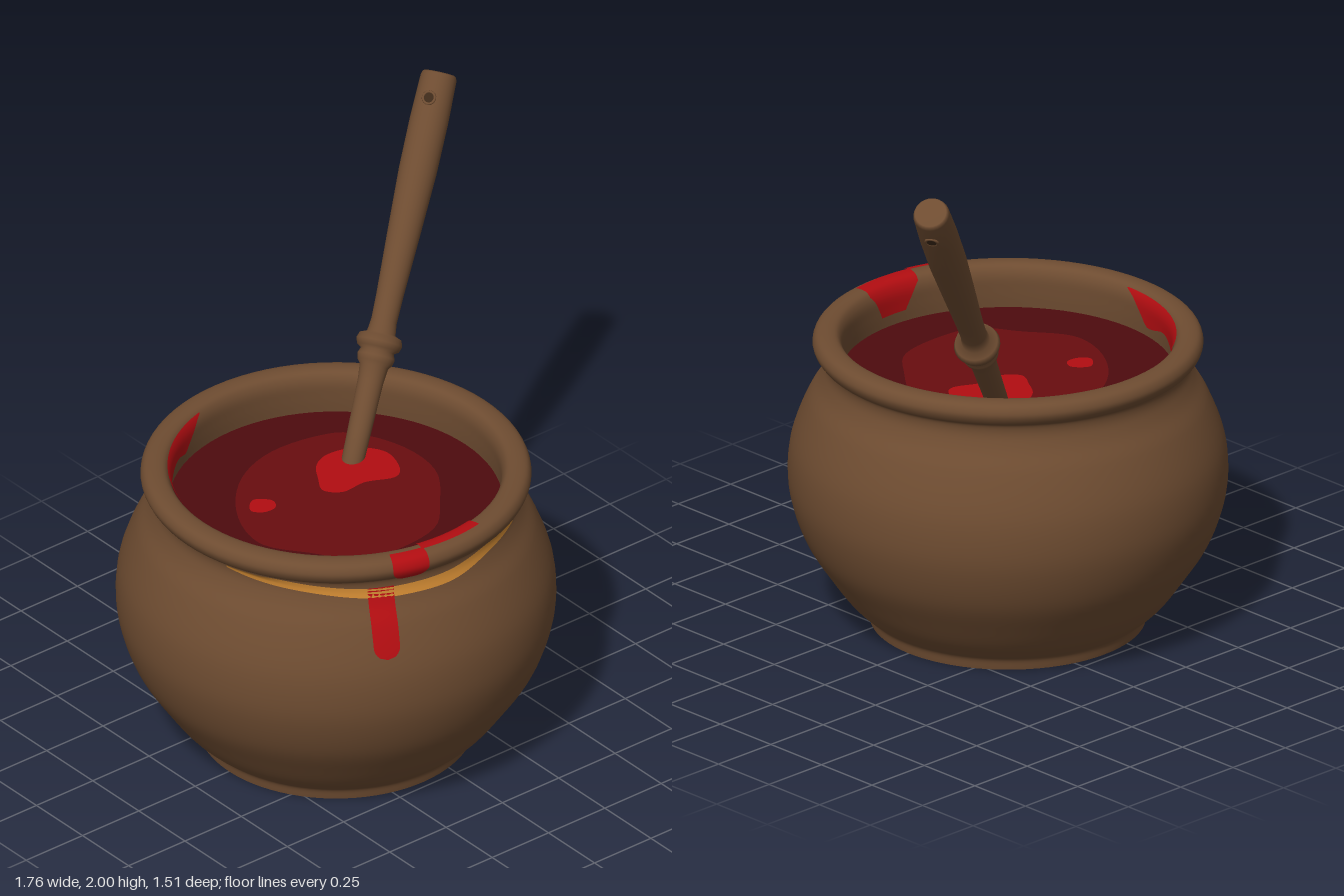
import * as THREE from 'three';

const mat = (name, color) => Object.assign(new THREE.MeshStandardMaterial({ color }), { name });
const V = (x, y, z = 0) => new THREE.Vector3(x, y, z);

export function createModel() {
  const brown = mat('brown clay and wood', 0x6e4c31);
  const darkBrown = mat('dark hole', 0x3c2919);
  const red = mat('bright red', 0xb20d11);
  const midRed = mat('mid red', 0x680d0f);
  const darkRed = mat('dark red', 0x4e0b0e);
  const orange = mat('orange glaze', 0xca8531);

  const model = new THREE.Group();
  const pot = new THREE.Group();
  pot.name = 'pot';
  pot.position.x = -0.125;
  model.add(pot);
  const add = (parent, name, geo, material) => {
    const mesh = new THREE.Mesh(geo, material);
    mesh.name = name;
    parent.add(mesh);
    return mesh;
  };

  // Pot wall: foot, belly, neck, rolled rim and inner wall (radius, height)
  const profile = [
    [0.475, 0], [0.485, 0.04], [0.515, 0.065], [0.56, 0.11], [0.625, 0.2], [0.70, 0.32], [0.745, 0.45],
    [0.757, 0.55], [0.745, 0.67], [0.69, 0.815], [0.645, 0.89], [0.627, 0.94], [0.632, 0.975], [0.655, 0.99],
    [0.672, 1.025], [0.66, 1.055], [0.63, 1.066], [0.59, 1.06], [0.572, 1.03], [0.57, 0.97], [0.575, 0.89],
  ];
  const last = profile.length - 1;
  const curve = new THREE.CatmullRomCurve3(profile.map(([r, y]) => V(r, y)));
  const wall = curve.getPoints(last * 5).map(p => new THREE.Vector2(p.x, p.y));
  add(pot, 'potWall', new THREE.LatheGeometry(wall, 80), brown);
  add(pot, 'potBase', new THREE.CircleGeometry(0.475, 80).rotateX(Math.PI / 2), brown);

  // Thin skin on the pot wall; at(u, v) gives [angle, profile index]
  const patch = (name, material, nu, nv, at) => {
    const pos = [], index = [];
    for (let j = 0; j <= nv; j++) {
      for (let i = 0; i <= nu; i++) {
        const [a, k] = at(i / nu, j / nv);
        const p = curve.getPoint(k / last), d = curve.getTangent(k / last);
        const r = p.x + d.y * 0.005, y = p.y - d.x * 0.005;
        pos.push(r * Math.sin(a), y, r * Math.cos(a));
        if (i < nu && j < nv) {
          const q = j * (nu + 1) + i, s = q + nu + 1;
          index.push(q, q + 1, s, q + 1, s + 1, s);
        }
      }
    }
    const geo = new THREE.BufferGeometry();
    geo.setAttribute('position', new THREE.Float32BufferAttribute(pos, 3));
    geo.setIndex(index);
    geo.computeVertexNormals();
    add(pot, name, geo, material);
  };
  const lerp = THREE.MathUtils.lerp;
  // Profile index of the outer wall at a given height
  const indexAt = y => {
    let lo = 0, hi = 14;
    for (let i = 0; i < 25; i++) {
      const m = (lo + hi) / 2;
      if (curve.getPoint(m / last).y < y) lo = m; else hi = m;
    }
    return lo;
  };

  // Wavy glaze stripe below the rim: angle, top height, bottom height
  const stripe = new THREE.CatmullRomCurve3([
    [-1.32, 0.98, 0.965], [-1.15, 0.985, 0.95], [-0.8, 0.962, 0.93], [-0.5, 0.945, 0.91], [-0.25, 0.942, 0.905],
    [0, 0.945, 0.905], [0.3, 0.97, 0.93], [0.6, 0.97, 0.94], [0.93, 0.968, 0.94],
  ].map(p => V(...p)));
  patch('glazeStripe', orange, 60, 3, (u, v) => {
    const p = stripe.getPoint(u);
    return [p.x, indexAt(lerp(p.z, p.y, v))];
  });

  // Drips with a rounded lower end
  const drip = (name, angle, half, from, to, round) => patch(name, red, 8, 28, (u, v) => {
    const e = Math.min(v / round, 1);
    const w = half * Math.sqrt(1 - (1 - e) ** 2);
    return [angle + (u * 2 - 1) * w, lerp(from, to, v)];
  });
  // The body drip sits just above the stripe
  patch('bodyDrip', red, 8, 28, (u, v) => {
    const y = lerp(0.71, 0.945, v), e = Math.min(v / 0.18, 1);
    const w = (0.062 + 0.012 * v) * Math.sqrt(1 - (1 - e) ** 2);
    const k = indexAt(y), p = curve.getPoint(k / last), d = curve.getTangent(k / last);
    return [-0.44 + (u * 2 - 1) * w * (1 + 0.004 * d.y / p.x), k + 0.02];
  });
  drip('outerRimDrip', -0.29, 0.1, 12.8, 16.1, 0.4);

  // Spill over the front of the rim and along the inner back wall
  patch('rimSpill', red, 10, 20, (u, v) => {
    const w = 0.2 - 0.1 * Math.max(0, v - 0.5) * 2;
    return [(u * 2 - 1) * w, lerp(15.9, 19.2, v)];
  });
  patch('innerWallSpill', red, 50, 12, (u, v) => {
    const depth = Math.min(1, Math.sin(Math.PI * u) * 2.2) * (0.9 + 0.1 * Math.sin(u * 17));
    return [lerp(-2.88, -1.56, u), lerp(17.3, 17.4 + 1.9 * depth, v)];
  });

  // Liquid surface with lighter pools
  const level = 0.91;
  add(pot, 'liquid', new THREE.CircleGeometry(0.574, 80).rotateX(-Math.PI / 2), darkRed).position.y = level;
  const pool = (name, material, y, pts) => {
    const loop = new THREE.CatmullRomCurve3(pts.map(([x, z]) => V(x, -z)), true).getPoints(60);
    loop.pop();
    const shape = new THREE.Shape(loop.map(p => new THREE.Vector2(p.x, p.y)));
    add(model, name, new THREE.ShapeGeometry(shape).rotateX(-Math.PI / 2), material).position.y = y;
  };
  pool('widePool', midRed, level + 0.004, [
    [-0.10, -0.38], [0.08, -0.36], [0.18, -0.31], [0.27, -0.12], [0.26, 0.07], [0.14, 0.24], [0.03, 0.35],
    [-0.14, 0.38], [-0.31, 0.35], [-0.40, 0.22], [-0.50, 0.07], [-0.49, -0.05], [-0.40, -0.21], [-0.26, -0.33]]);
  pool('brightPool', red, level + 0.008, [
    [0.03, -0.24], [0.14, -0.21], [0.20, -0.12], [0.16, 0.0], [0.12, 0.02], [0.02, -0.02],
    [-0.08, -0.02], [-0.125, -0.07], [-0.09, -0.14], [-0.04, -0.21]]);
  pool('smallPool', red, level + 0.008, [
    [-0.35, -0.175], [-0.30, -0.13], [-0.32, -0.09], [-0.37, -0.09], [-0.40, -0.125]]);

  // Turned wooden handle leaning out of the pot, origin at its collar
  const handle = new THREE.Group();
  handle.name = 'handle';
  const dir = V(0.525, 0.745, -0.31).normalize();
  handle.position.set(0.305, 1.22, -0.296);
  handle.quaternion.setFromUnitVectors(V(0, 1, 0), dir);
  model.add(handle);
  const turned = [
    [0, -0.47], [0.038, -0.47], [0.041, -0.3], [0.045, -0.12], [0.05, -0.07], [0.062, -0.055], [0.066, -0.035],
    [0.058, -0.015], [0.074, -0.005], [0.081, 0.015], [0.074, 0.036], [0.05, 0.046], [0.045, 0.09],
    [0.047, 0.18], [0.057, 0.4], [0.066, 0.62], [0.067, 0.8], [0.063, 0.95], [0.059, 0.962], [0.054, 0.966], [0, 0.967],
  ].map(([r, s]) => new THREE.Vector2(r, s));
  add(handle, 'handleShaft', new THREE.LatheGeometry(turned, 28), brown);

  // Hanging hole through the handle end
  const hole = new THREE.Group();
  hole.name = 'hangingHole';
  const axis = V(-0.04, 0.03, 0.025).projectOnPlane(dir).normalize();
  axis.applyQuaternion(handle.quaternion.clone().invert());
  hole.position.y = 0.87;
  hole.quaternion.setFromUnitVectors(V(0, 1, 0), axis);
  handle.add(hole);
  add(hole, 'holeCore', new THREE.CylinderGeometry(0.018, 0.018, 0.134, 16), darkBrown);
  for (const side of [-1, 1]) {
    const lip = add(hole, 'holeLip', new THREE.TorusGeometry(0.021, 0.005, 8, 18).rotateX(Math.PI / 2), brown);
    lip.position.y = side * 0.064;
  }
  return model;
}
